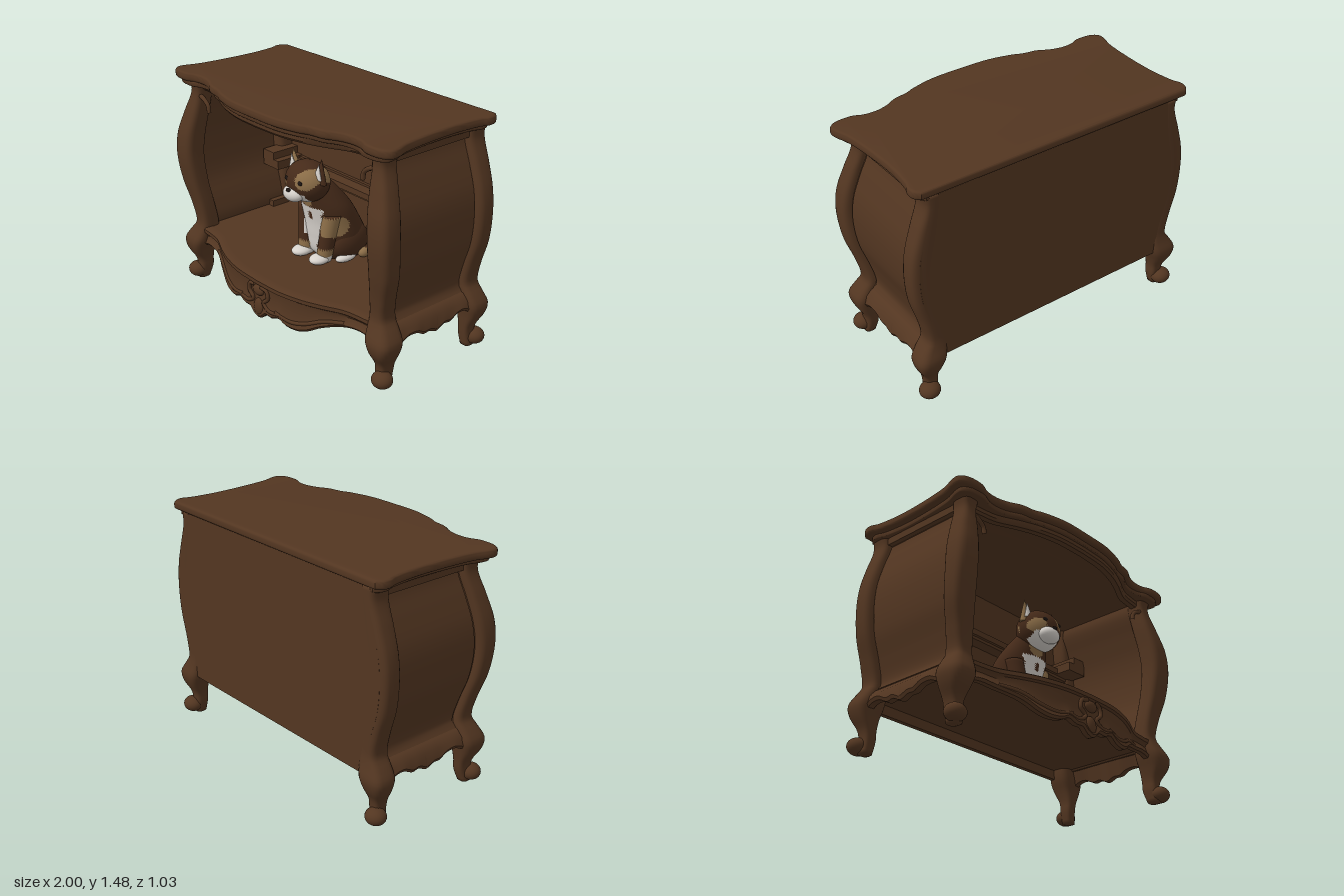
import * as THREE from 'three';
import { toCreasedNormals } from 'three/addons/utils/BufferGeometryUtils.js';

const V = (x, y, z) => new THREE.Vector3(x, y, z);
const mat = (name, color) => Object.assign(new THREE.MeshStandardMaterial({ color }), { name });

// Smooth interpolation of table rows [key, value, value...]
function at(t, x) {
  let i = 0;
  while (i < t.length - 2 && x > t[i + 1][0]) i++;
  const a = t[Math.max(i - 1, 0)], b = t[i], c = t[i + 1], d = t[Math.min(i + 2, t.length - 1)];
  const h = c[0] - b[0], u = (x - b[0]) / h, u2 = u * u, u3 = u2 * u;
  return b.slice(1).map((v, k) => {
    k++;
    const m0 = (c[k] - a[k]) / (c[0] - a[0]) * h, m1 = (d[k] - b[k]) / (d[0] - b[0]) * h;
    return (2 * u3 - 3 * u2 + 1) * v + (u3 - 2 * u2 + u) * m0 + (3 * u2 - 2 * u3) * c[k] + (u3 - u2) * m1;
  });
}
const steps = (a, b, n) => Array.from({ length: n + 1 }, (_, i) => a + (b - a) * i / n);

// Skin a list of rings with end caps, always facing outward
function loft(rings) {
  const n = rings[0].length, m = rings.length, pts = rings.flat(), idx = [];
  for (let i = 0; i < m - 1; i++) for (let j = 0; j < n; j++) {
    const a = i * n + j, b = i * n + (j + 1) % n;
    idx.push(a, b, b + n, a, b + n, a + n);
  }
  [0, m - 1].forEach(r => {
    const c = pts.length;
    pts.push(rings[r].reduce((s, p) => s.add(p), V(0, 0, 0)).divideScalar(n));
    for (let j = 0; j < n; j++) {
      const a = r * n + j, b = r * n + (j + 1) % n;
      idx.push(c, ...(r ? [a, b] : [b, a]));
    }
  });
  let vol = 0;
  for (let i = 0; i < idx.length; i += 3) vol += pts[idx[i]].dot(pts[idx[i + 1]].clone().cross(pts[idx[i + 2]]));
  if (vol < 0) idx.reverse();
  const g = new THREE.BufferGeometry().setFromPoints(pts);
  g.setIndex(idx);
  g.computeVertexNormals();
  return g;
}
const creased = g => toCreasedNormals(g, 0.65);
// Horizontal rounded ring; power below 1 makes it squarer
const oval = (x, y, z, rx, rz, power = 1, n = 24) => steps(0, 2 * Math.PI, n).slice(0, n).map(a => {
  const c = Math.cos(a), s = Math.sin(a);
  return V(x + rx * Math.sign(c) * Math.abs(c) ** power, y, z + rz * Math.sign(s) * Math.abs(s) ** power);
});
const rect = (x0, x1, y, z0, z1) => [V(x0, y, z0), V(x1, y, z0), V(x1, y, z1), V(x0, y, z1)];

// Split a smooth geometry into colour groups by triangle centre
function paint(geo, count, pick) {
  const g = geo.index ? geo.toNonIndexed() : geo, p = g.attributes.position, nr = g.attributes.normal;
  const bins = Array.from({ length: count }, () => []);
  for (let i = 0; i < p.count; i += 3) {
    const c = V(0, 0, 0);
    for (let k = 0; k < 3; k++) c.add(V(p.getX(i + k), p.getY(i + k), p.getZ(i + k)));
    c.divideScalar(3);
    bins[pick(c.x, c.y, c.z)].push(i, i + 1, i + 2);
  }
  const out = new THREE.BufferGeometry(), order = bins.flat();
  for (const [name, a] of [['position', p], ['normal', nr]])
    out.setAttribute(name, new THREE.Float32BufferAttribute(order.flatMap(i => [a.getX(i), a.getY(i), a.getZ(i)]), 3));
  let start = 0;
  bins.forEach((b, i) => { if (b.length) out.addGroup(start, b.length, i); start += b.length; });
  return out;
}

// Corner post: y, inner x, outer x, inner z, outer z
const POST = [[0, .86, .93, .25, .33], [.08, .845, .925, .225, .325], [.14, .845, .935, .22, .33], [.22, .825, .975, .21, .375],
  [.29, .80, .988, .20, .385], [.36, .79, .95, .2, .355], [.42, .79, .912, .2, .332], [.55, .80, .935, .22, .345],
  [.72, .82, .985, .245, .38], [.9, .83, 1, .26, .405], [1.05, .82, .985, .25, .40], [1.2, .80, .94, .23, .365],
  [1.34, .79, .892, .21, .332], [1.42, .78, .90, .21, .345]];
const BACK_Z = [[0, -.45, -.38], [.08, -.455, -.37], [.15, -.465, -.365], [.22, -.5, -.36], [.29, -.515, -.35], [.37, -.495, -.35],
  [.44, -.485, -.35], [1.42, -.485, -.35]];
// Serpentine front line, apron bottom and side apron bottom
const BOW = [[0, .51], [.2, .5], [.36, .465], [.48, .42], [.62, .355], [.72, .337], [.86, .325]];
const SCALLOP = [[0, .13], [.04, .145], [.07, .175], [.13, .175], [.19, .195], [.25, .17], [.33, .165], [.4, .185], [.48, .23], [.58, .265],
  [.7, .285], [.78, .28], [.86, .25]];
const SIDE_SCALLOP = [[-.38, .24], [-.33, .275], [-.27, .28], [-.2, .25], [-.15, .255], [-.09, .23], [-.03, .25], [.02, .25],
  [.07, .275], [.14, .28], [.19, .26], [.24, .24]];
const TOP = [[0, .515], [.2, .51], [.36, .475], [.43, .447], [.52, .43], [.6, .39], [.68, .37], [.76, .375], [.83, .402], [.93, .398],
  [.985, .36], [.985, .3], [.955, .2], [.935, 0], [.93, -.2], [.945, -.36], [.965, -.42], [.96, -.47], [.93, -.505]];

export function createModel() {
  const root = new THREE.Group(), cabinet = new THREE.Group(), cat = new THREE.Group();
  root.name = 'cabinetWithCat'; cabinet.name = 'cabinet'; cat.name = 'sittingCat';
  root.add(cabinet, cat);
  const wood = mat('walnut wood', 0x533621), fur = mat('dark brown fur', 0x452a19), tan = mat('tan fur', 0x8c6e48),
    white = mat('white fur', 0xd6d1cb), black = mat('eye black', 0x1c1512);
  const coat = [fur, tan, white];
  const add = (parent, name, geo, material) => {
    const m = new THREE.Mesh(geo, material);
    m.name = name;
    parent.add(m);
    return m;
  };
  const box = (name, x0, x1, y0, y1, z0, z1) =>
    add(cabinet, name, new THREE.BoxGeometry(x1 - x0, y1 - y0, z1 - z0).translate((x0 + x1) / 2, (y0 + y1) / 2, (z0 + z1) / 2), wood);
  const ball = (parent, name, material, x, y, z, rx, ry, rz) =>
    add(parent, name, new THREE.SphereGeometry(1, 28, 20).scale(rx, ry, rz).translate(x, y, z), material);
  const tube = (parent, name, material, pts, r, n = 24) =>
    add(parent, name, new THREE.TubeGeometry(new THREE.CatmullRomCurve3(pts), n, r, 8), material);

  // Moulded top
  const slab = (name, k, top, depth, bevel) => {
    const half = TOP.map(([x, z]) => new THREE.Vector2(x * k, z * k));
    const line = [...half.slice(1).reverse().map(p => new THREE.Vector2(-p.x, p.y)), ...half];
    const shape = new THREE.Shape(new THREE.SplineCurve(line).getPoints(140));
    const g = new THREE.ExtrudeGeometry(shape, { depth: depth - 2 * bevel, bevelThickness: bevel, bevelSize: bevel, bevelOffset: -bevel, bevelSegments: 4 });
    add(cabinet, name, creased(g.translate(0, 0, bevel).rotateX(Math.PI / 2).translate(0, top, 0)), wood);
  };
  slab('topBoard', 1, 1.48, .055, .018);
  slab('topMoulding', .955, 1.43, .035, .01);

  // Strips that follow the serpentine front: rail and carved apron
  const xs = steps(-.86, .86, 96), bow = x => at(BOW, Math.abs(x))[0];
  add(cabinet, 'frontRail', creased(loft(xs.map(x => {
    const z = bow(x) - .03;
    return [V(x, 1.42, z), V(x, 1.37, z), V(x, 1.355, z - .012), V(x, 1.355, z - .05), V(x, 1.42, z - .05)];
  }))), wood);
  add(cabinet, 'frontApron', creased(loft(xs.map(x => {
    const z = bow(x), b = at(SCALLOP, Math.abs(x))[0], h = .4 - b;
    return [V(x, .4, z - .015), V(x, .39, z), V(x, .365, z), V(x, .355, z - .015), V(x, b + h * .5, z - .022), V(x, b + h * .2, z - .01),
      V(x, b + .015, z), V(x, b, z - .012), V(x, b, z - .045), V(x, .4, z - .06)];
  }))), wood);
  ball(cabinet, 'apronBoss', wood, 0, .32, .495, .05, .035, .022);
  ball(cabinet, 'apronPendant', wood, 0, .2, .49, .045, .06, .025);
  for (const s of [-1, 1]) {
    const onApron = pts => pts.map(([x, y]) => V(s * x, y, bow(x) - .012));
    tube(cabinet, 'apronScroll', wood, onApron([[.03, .35], [.08, .34], [.09, .29], [.05, .25], [.1, .215], [.2, .225]]), .013);
    tube(cabinet, 'apronLeaf', wood, onApron([[.16, .23], [.28, .21], [.38, .23], [.5, .28], [.62, .3]]), .012);
  }

  // Floor board with the same bowed front
  const floor = new THREE.Shape([[-.86, -.47], ...xs.map(x => [x, bow(x) - .02]), [.86, -.47]].map(p => new THREE.Vector2(...p)));
  add(cabinet, 'floorBoard', new THREE.ExtrudeGeometry(floor, { depth: .035, bevelEnabled: false }).rotateX(Math.PI / 2).translate(0, .397, 0), wood);

  // Posts with curved legs and ball feet, and swelling side panels
  const post = y => at(POST, y), bodyYs = steps(.3, 1.42, 40);
  for (const s of [-1, 1]) {
    const ys = steps(0, 1.42, 64);
    for (const front of [true, false]) {
      add(cabinet, front ? 'frontPost' : 'backPost', loft(ys.map(y => {
        const [x0, x1, fz0, fz1] = post(y), [z0, z1] = front ? [fz0, fz1] : at(BACK_Z, y);
        return oval(s * (x0 + x1) / 2, y, (z0 + z1) / 2, (x1 - x0) / 2, (z1 - z0) / 2, .6);
      })), wood);
      ball(cabinet, front ? 'frontFoot' : 'backFoot', wood, s * .915, .052, front ? .318 : -.455, .066, .052, .062);
    }
    const panel = (name, y0, y1, inset, z0, gap) => add(cabinet, name, creased(loft(steps(y0, y1, 40).map(y => {
      const [, x1, z1] = post(y);
      return rect(s * (x1 - inset - .04), s * (x1 - inset), y, z0, z1 - gap);
    }))), wood);
    panel('sidePanel', .35, 1.42, .052, -.42, -.06);
    panel('sideRaisedField', .385, 1.34, .045, -.345, .012);
    add(cabinet, 'sideApron', creased(loft(steps(-.4, .26, 60).map(z => {
      const b = at(SIDE_SCALLOP, Math.min(.24, Math.max(-.38, z)))[0];
      return [V(s * .865, .38, z), V(s * .9, .37, z), V(s * .935, .33, z), V(s * .95, b + .02, z), V(s * .94, b, z), V(s * .9, b, z)];
    }))), wood);
    box('sideTopRail', Math.min(s * .82, s * .872), Math.max(s * .82, s * .872), 1.35, 1.42, -.42, .27);
    tube(cabinet, 'cornerBracket', wood, [V(s * .81, 1.32, .31), V(s * .76, 1.3, .31), V(s * .725, 1.27, .31), V(s * .715, 1.225, .31)], .014);

    // Runner blocks at the shelf ends
    for (const y of [.72, 1.06]) {
      const [a, b] = [s * .77, s * .88].sort((p, q) => p - q), [c, d] = [s * .72, s * .88].sort((p, q) => p - q);
      box('shelfRunner', a, b, y, y + .08, -.46, -.24);
      box('shelfRunnerFoot', c, d, y - .03, y + .03, -.46, -.24);
    }
    box('floorCleat', ...[s * .78, s * .86].sort((p, q) => p - q), .395, .44, -.46, -.24);
  }

  // Flat back and shallow rear shelves
  add(cabinet, 'backPanel', creased(loft(bodyYs.map(y => {
    const x = post(y)[1] - .045;
    return rect(-x, x, y, -.483, -.452);
  }))), wood);
  for (const y of [.69, 1.03]) {
    box('rearShelf', -.86, .86, y, y + .04, -.46, -.35);
    box('rearShelfLip', -.86, .86, y - .02, y + .01, -.46, -.37);
    box('rearShelfLedge', -.8, .8, y + .03, y + .055, -.46, -.43);
  }

  // Cat body: y, centre z, half width, half depth
  const BODY = [[.398, -.14, .16, .15], [.45, -.13, .195, .18], [.55, -.12, .2, .185], [.65, -.09, .19, .165], [.75, -.05, .175, .145],
    [.83, -.01, .14, .125], [.9, .03, .1, .1], [.95, .06, .06, .07]];
  const patch = (x, y, z) => Math.sin(19 * x + 2) * Math.sin(17 * y) + Math.sin(15 * z + 9 * x) * .6 > .95 ? 1 : 0;
  const body = loft(steps(.398, .95, 48).map(y => {
    const [z, rx, rz] = at(BODY, y);
    return oval(0, y, z, rx, rz, 1, 56);
  }));
  add(cat, 'catBody', paint(body, 3, (x, y, z) => {
    const mark = Math.hypot(x - .005, (y - .7) * .6) < .018;
    const bib = Math.min(.1, .035 + (y - .45) * .26) + .012 * Math.sin(y * 60);
    if (z > -.02 && y < .76 && Math.abs(x) < bib) return mark ? 0 : 2;
    return patch(x, y, z);
  }), coat);

  // Legs, paws, haunches and tail
  for (const s of [-1, 1]) {
    const leg = loft(steps(.41, .72, 16).map(y => oval(s * (.085 + (y - .41) * .1), y, .045 - (y - .41) * .15, .048 + (y - .41) * .04, .05 + (y - .41) * .05)));
    add(cat, 'frontLeg', paint(leg, 3, (x, y, z) => y < .455 ? 2 : Math.abs(x) < .075 && y > .54 ? 2 : y < .5 ? 1 : patch(x, y, z)), coat);
    ball(cat, 'frontPaw', white, s * .085, .428, .08, .058, .032, .07);
    const thigh = new THREE.SphereGeometry(1, 36, 26).scale(.075, .12, .14).translate(s * .135, .51, -.13);
    add(cat, 'haunch', paint(thigh, 3, patch), coat);
    ball(cat, 'hindPaw', white, s * .165, .422, -.07, .038, .026, .08);
  }
  tube(cat, 'tail', fur, [V(0, .45, -.28), V(.09, .44, -.33), V(.18, .435, -.28), V(.205, .435, -.19)], .032);
  ball(cat, 'tailTip', tan, .205, .435, -.185, .032, .032, .04);

  // Head with muzzle, eyes and ears
  const head = new THREE.SphereGeometry(1, 56, 44).scale(.15, .13, .13).translate(0, .935, .1);
  add(cat, 'catHead', paint(head, 3, (x, y, z) => {
    if (z > .1 && y < .885 && Math.abs(x + .015) < .095) return 2;
    if (z > .06 && Math.hypot(x - .085, y - .98) < .06) return 1;
    if (z > .06 && Math.hypot(x + .1, y - .92) < .045) return 1;
    return patch(x, y, z);
  }), coat);
  ball(cat, 'muzzle', white, -.015, .872, .2, .078, .05, .055);
  ball(cat, 'nose', black, -.012, .907, .243, .018, .012, .012);
  for (const s of [-1, 1]) {
    ball(cat, 'eye', black, s * .06, .962, .212, .02, .013, .009);
    const ear = (name, r, h, d, z, material) => {
      const m = add(cat, name, new THREE.ConeGeometry(r, h, 20).scale(1, 1, d), material);
      m.position.set(s * .122, 1.035, z);
      m.rotation.z = -s * .14;
    };
    ear('ear', .058, .155, .5, .1, s < 0 ? tan : fur);
    ear('innerEar', .034, .1, .45, .12, white);
  }
  return root;
}
